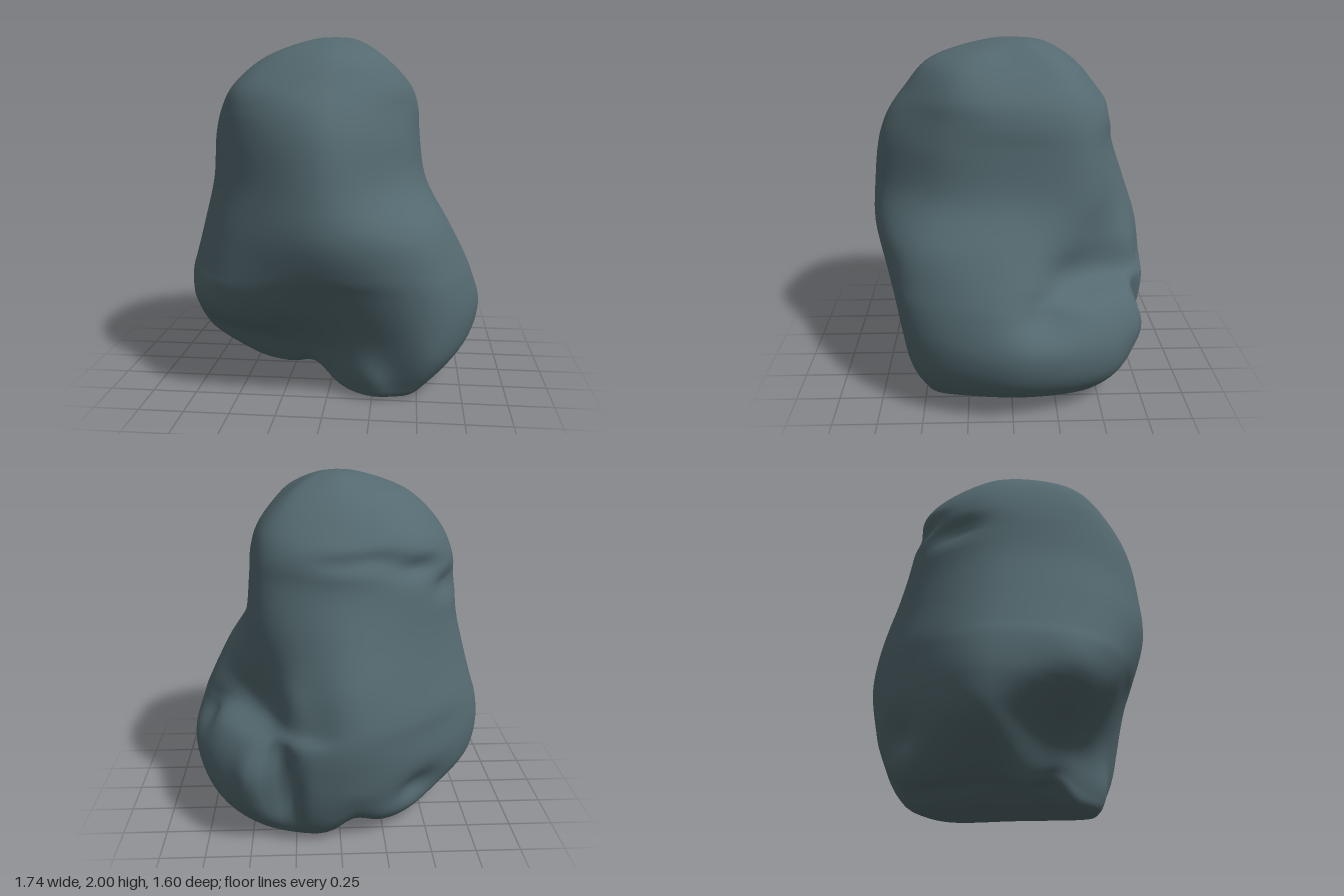
import * as THREE from 'three';
import { mergeVertices } from 'three/addons/utils/BufferGeometryUtils.js';

const stone = new THREE.MeshStandardMaterial({ color: 0x546a70 });
stone.name = 'slate grey';

// Height, then the radius in eight directions:
// left, front-left, front, front-right, right, back-right, back, back-left
const sections = [
  [1.985, 0.12, 0.12, 0.14, 0.14, 0.13, 0.13, 0.18, 0.16],
  [1.88, 0.29, 0.38, 0.46, 0.44, 0.41, 0.36, 0.36, 0.37],
  [1.72, 0.44, 0.50, 0.60, 0.65, 0.58, 0.55, 0.50, 0.53],
  [1.60, 0.48, 0.53, 0.69, 0.70, 0.65, 0.62, 0.585, 0.58],
  [1.46, 0.49, 0.56, 0.75, 0.72, 0.69, 0.63, 0.585, 0.60],
  [1.20, 0.53, 0.61, 0.79, 0.74, 0.71, 0.65, 0.67, 0.62],
  [0.95, 0.66, 0.78, 0.80, 0.79, 0.77, 0.69, 0.755, 0.61],
  [0.74, 0.77, 0.83, 0.73, 0.82, 0.83, 0.73, 0.79, 0.62],
  [0.64, 0.82, 0.84, 0.67, 0.82, 0.86, 0.73, 0.80, 0.79],
  [0.45, 0.865, 0.83, 0.56, 0.73, 0.87, 0.73, 0.77, 0.87],
  [0.25, 0.81, 0.79, 0.42, 0.40, 0.80, 0.70, 0.72, 0.85],
  [0.09, 0.65, 0.70, 0.36, 0.30, 0.60, 0.63, 0.65, 0.73],
  [0.01, 0.44, 0.62, 0.32, 0.22, 0.42, 0.52, 0.56, 0.60],
];

// Dents and bulges: centre, horizontal reach, vertical reach, push along the radius
const dents = [
  [-0.27, 0.40, 0.48, 0.17, 0.13, -0.08], // hollow under the front overhang
  [-0.73, 0.50, 0.46, 0.15, 0.16, 0.05], // shoulder beside the hollow
  [0.20, 0.08, 0.46, 0.14, 0.20, 0.08], // front of the left foot
  [0.72, 0.62, -0.16, 0.14, 0.09, -0.10], // pocket above the side lobe
  [0.55, 0.78, -0.30, 0.18, 0.14, -0.04],
  [0.27, 0.80, -0.66, 0.13, 0.20, 0.07], // edge of the back beside the lobe
  [0.34, 0.36, -0.74, 0.085, 0.34, -0.12], // groove between lobe and back
  [0.48, 0.50, -0.74, 0.12, 0.18, 0.06], // corner of the lobe
  [0.00, 1.59, -0.57, 0.16, 0.05, -0.03], // crease slanting across the back
  [-0.22, 1.60, -0.55, 0.16, 0.06, -0.04],
  [-0.42, 1.54, -0.43, 0.17, 0.06, -0.05],
  [-0.59, 1.40, -0.20, 0.18, 0.06, -0.05],
  [-0.43, 0.28, -0.47, 0.17, 0.11, -0.08], // low dent at the back
];

function sculpt(p) {
  let push = 0;
  for (const [x, y, z, reach, rise, amount] of dents) {
    const flat = ((p.x - x) ** 2 + (p.z - z) ** 2) / reach ** 2;
    push += amount * Math.exp(-flat - ((p.y - y) / rise) ** 2);
  }
  const r = Math.hypot(p.x, p.z) || 1;
  p.x += (p.x / r) * push;
  p.z += (p.z / r) * push;
  // Channel between the feet, with the right foot slightly raised
  const low = THREE.MathUtils.clamp(1 - p.y / 0.35, 0, 1);
  p.y += low * 0.08 * Math.exp(-(((p.x + 0.07) / 0.11) ** 2));
  p.y += low * 0.04 * THREE.MathUtils.smoothstep(-p.x, -0.05, 0.2);
  p.y = THREE.MathUtils.clamp(p.y, 0, 2);
  return p;
}

function boulderGeometry(rows = 80, columns = 96) {
  // Eight smooth lines from the crown to the underside
  const meridians = Array.from({ length: 8 }, (_, k) => {
    const a = (k * Math.PI) / 4;
    const points = sections.map(([y, ...r]) =>
      new THREE.Vector3(Math.cos(a) * r[k], y, Math.sin(a) * r[k]));
    return new THREE.CatmullRomCurve3([
      new THREE.Vector3(0, 2, -0.02), ...points, new THREE.Vector3(0, 0.08, 0),
    ]);
  });
  const positions = [];
  const index = [];
  for (let i = 0; i <= rows; i++) {
    const t = i / rows;
    const atPole = i === 0 || i === rows;
    const ring = new THREE.CatmullRomCurve3(meridians.map((m) => m.getPoint(t)), true);
    for (let j = 0; j < columns; j++) {
      const p = atPole ? meridians[0].getPoint(t) : ring.getPoint(j / columns);
      positions.push(...sculpt(p).toArray());
      if (i === rows) continue;
      const a = i * columns + j;
      const b = i * columns + ((j + 1) % columns);
      if (i > 0) index.push(a, b, a + columns);
      if (i < rows - 1) index.push(b, b + columns, a + columns);
    }
  }
  const geometry = new THREE.BufferGeometry();
  geometry.setAttribute('position', new THREE.Float32BufferAttribute(positions, 3));
  geometry.setIndex(index);
  const merged = mergeVertices(geometry);
  merged.computeVertexNormals();
  return merged;
}

export function createModel() {
  const group = new THREE.Group();
  group.name = 'rock';
  const boulder = new THREE.Mesh(boulderGeometry(), stone);
  boulder.name = 'boulder';
  group.add(boulder);
  return group;
}
